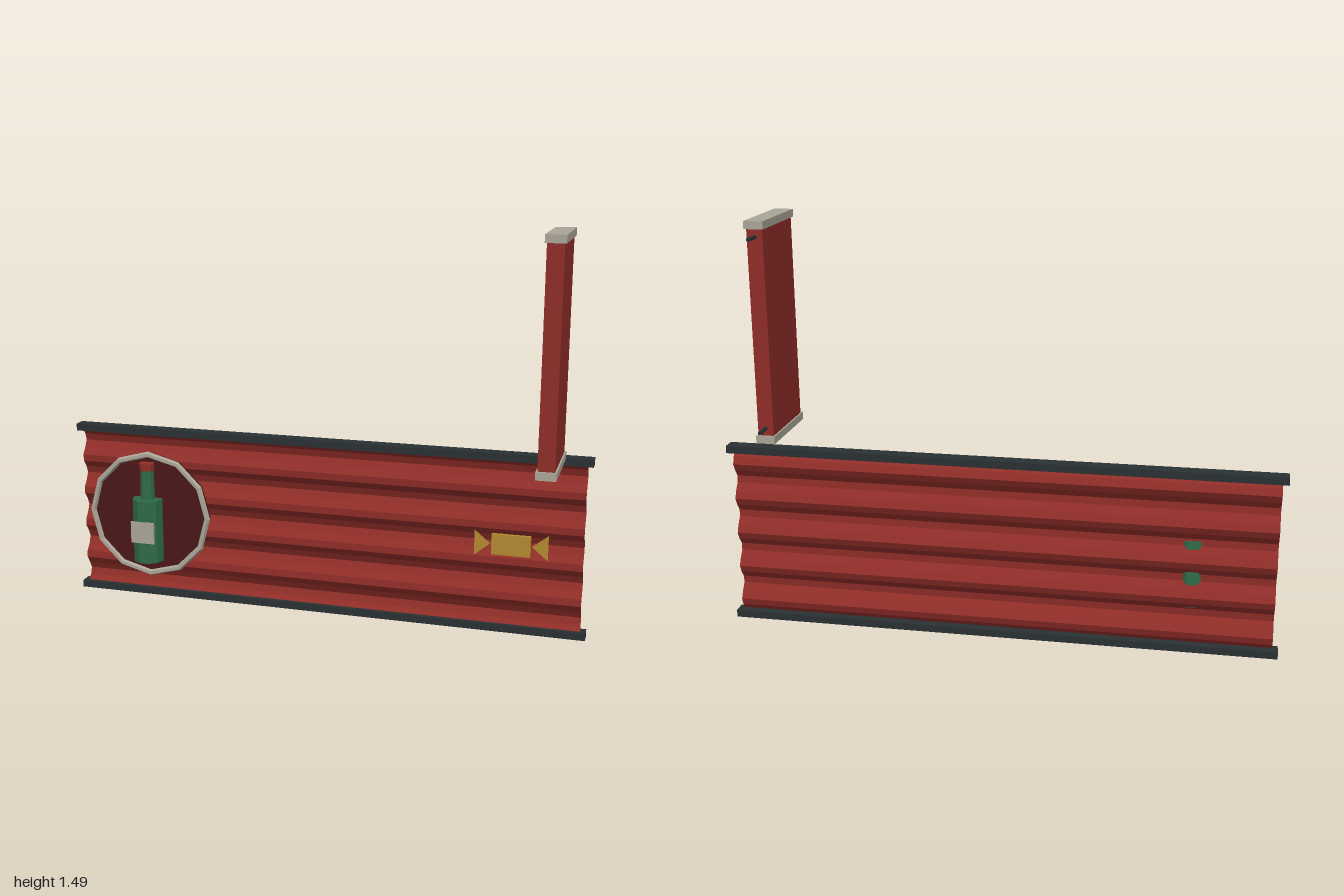
import * as THREE from 'three';

const mat = (color, side = THREE.FrontSide) =>
  new THREE.MeshStandardMaterial({ color, flatShading: true, side });

export function createModel() {
  const model = new THREE.Group();
  const red = mat(0x8f2d28);
  const dark = mat(0x2a3132);
  const stone = mat(0xaaa597);
  const green = mat(0x2f6b47);
  const gold = mat(0xb38a30, THREE.DoubleSide);

  const add = (name, geometry, material, x, y, z, parent = model) => {
    const mesh = new THREE.Mesh(geometry, material);
    mesh.name = name;
    mesh.position.set(x, y, z);
    parent.add(mesh);
    return mesh;
  };
  const box = (w, h, d) => new THREE.BoxGeometry(w, h, d);

  // Corrugated sheet: a plane rippled along its height
  const sheet = new THREE.PlaneGeometry(1.96, 0.64, 1, 24);
  const p = sheet.attributes.position;
  for (let i = 0; i < p.count; i++) {
    p.setZ(i, -0.018 * Math.cos((p.getY(i) / 0.135) * Math.PI * 2));
  }
  sheet.computeVertexNormals();
  add('corrugatedSheet', sheet, mat(0x8f2d28, THREE.DoubleSide), 0, 0.339, -0.161);

  // Rails along the bottom and top of the sheet
  add('bottomRail', box(2, 0.027, 0.05), dark, 0, 0.0135, -0.162);
  add('topRail', box(2, 0.027, 0.05), dark, 0, 0.664, -0.162);

  // Round badge with a twelve-sided frame
  const badge = new THREE.Group();
  badge.name = 'badge';
  badge.position.set(-0.687, 0.341, 0);
  model.add(badge);
  add('badgeDisc', new THREE.CylinderGeometry(0.243, 0.243, 0.028, 12).rotateX(Math.PI / 2).rotateZ(Math.PI / 2),
    mat(0x4a1717), 0, 0, -0.126, badge);
  add('badgeFrame', new THREE.TorusGeometry(0.24, 0.012, 6, 12), stone, 0, 0, -0.112, badge);

  // Bottle standing out of the badge
  const bottle = new THREE.Group();
  bottle.name = 'bottle';
  bottle.position.set(-0.687, 0, -0.098);
  model.add(bottle);
  const tube = (rTop, rBottom, h) => new THREE.CylinderGeometry(rTop, rBottom, h, 10).rotateY(Math.PI / 10);
  add('bottleBody', tube(0.06, 0.06, 0.25), green, 0, 0.285, 0, bottle);
  add('bottleNeck', tube(0.026, 0.03, 0.118), green, 0, 0.467, 0, bottle);
  add('bottleCap', tube(0.03, 0.03, 0.028), red, 0, 0.538, 0, bottle);
  add('bottleLabel', box(0.095, 0.084, 0.008), stone, 0, 0.286, 0.058, bottle);

  // Wrapped sweet: a block with two flat twisted ends
  const sweet = new THREE.Group();
  sweet.name = 'wrappedSweet';
  sweet.position.set(0.722, 0.341, -0.129);
  model.add(sweet);
  add('sweetBody', box(0.142, 0.077, 0.016), gold, 0, 0, 0, sweet);
  for (const s of [-1, 1]) {
    const end = new THREE.Shape([[0.075, 0], [0.134, -0.048 * s], [0.134, 0.048 * s]]
      .map(([x, y]) => new THREE.Vector2(x * s, y)));
    add('sweetWrapperEnd', new THREE.ShapeGeometry(end), gold, 0, 0, 0, sweet);
  }

  // Projecting blade sign with end caps and wall pegs
  const sign = new THREE.Group();
  sign.name = 'bladeSign';
  sign.position.set(0.868, 1.081, 0.026);
  model.add(sign);
  add('signPanel', box(0.058, 0.752, 0.3), red, 0, 0, 0, sign);
  for (const s of [-1, 1]) {
    add('signCap', box(0.07, 0.028, 0.322), stone, 0, s * 0.39, 0, sign);
    add('signPeg', new THREE.CylinderGeometry(0.008, 0.008, 0.075, 6).rotateX(Math.PI / 2),
      dark, 0, s * 0.348, -0.175, sign);
  }

  return model;
}
